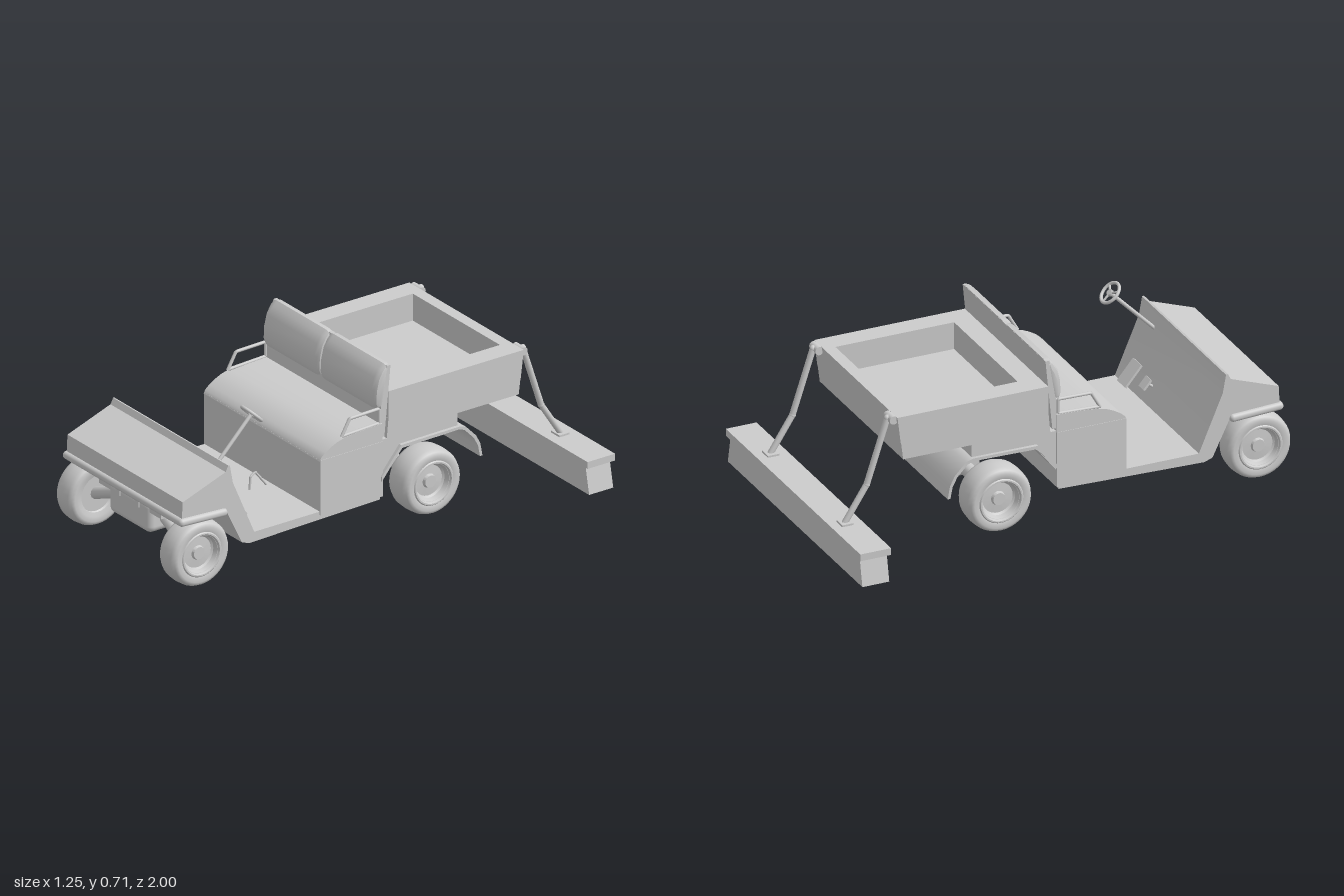
import * as THREE from 'three';
import { toCreasedNormals } from 'three/addons/utils/BufferGeometryUtils.js';
import { RoundedBoxGeometry } from 'three/addons/geometries/RoundedBoxGeometry.js';

const V = (x, y, z) => new THREE.Vector3(x, y, z);
const mat = new THREE.MeshStandardMaterial({ color: 0xcccccc });
const matDouble = new THREE.MeshStandardMaterial({ color: 0xcccccc, side: THREE.DoubleSide });

export function createModel() {
  const root = new THREE.Group();

  const add = (name, geo, parent = root, material = mat) => {
    const mesh = new THREE.Mesh(geo, material);
    mesh.name = name;
    parent.add(mesh);
    return mesh;
  };
  const group = (name, parent = root) => {
    const g = new THREE.Group();
    g.name = name;
    parent.add(g);
    return g;
  };
  // box given by its min/max ranges
  const box = (name, x0, x1, y0, y1, z0, z1, parent) =>
    add(name, new THREE.BoxGeometry(x1 - x0, y1 - y0, z1 - z0)
      .translate((x0 + x1) / 2, (y0 + y1) / 2, (z0 + z1) / 2), parent);
  // side profile of [z, y] points extruded across x
  const across = (name, pts, width, x = 0, options = {}, parent = root) => {
    const shape = new THREE.Shape(pts.map(p => new THREE.Vector2(...p)));
    const geo = new THREE.ExtrudeGeometry(shape, { depth: width, bevelEnabled: false, ...options });
    geo.rotateY(-Math.PI / 2).translate(x + width / 2, 0, 0);
    return add(name, toCreasedNormals(geo, 0.6), parent);
  };
  // straight bar between two points
  const rod = (name, a, b, r, parent, sides = 12, r2 = r) => {
    const mesh = add(name, new THREE.CylinderGeometry(r2, r, a.distanceTo(b), sides), parent);
    mesh.position.copy(a).lerp(b, 0.5);
    mesh.quaternion.setFromUnitVectors(V(0, 1, 0), b.clone().sub(a).normalize());
    return mesh;
  };
  // bent bar through several points
  const bent = (name, pts, r, parent, sides = 10) => {
    const path = new THREE.CurvePath();
    for (let i = 1; i < pts.length; i++) path.add(new THREE.LineCurve3(pts[i - 1], pts[i]));
    return add(name, new THREE.TubeGeometry(path, 60, r, sides), parent, matDouble);
  };

  // floor, sloping firewall and front cowl in one shell
  across('frontBody', [
    [0.95, 0.3], [0.945, 0.39], [0.735, 0.465], [0.722, 0.49], [0.714, 0.488], [0.7, 0.41],
    [0.595, 0.165], [-0.02, 0.165], [-0.02, 0.138], [0.62, 0.122], [0.655, 0.135], [0.735, 0.3]], 0.78);
  const bumper = add('bumper', new RoundedBoxGeometry(0.81, 0.034, 0.235, 4, 0.016));
  bumper.position.set(0, 0.297, 0.847);
  bumper.rotation.x = -0.05;

  // seat base and cushion with a rounded front
  box('seatBase', -0.395, 0.395, 0.15, 0.39, -0.03, 0.275);
  across('seatCushion', [
    [-0.03, 0.385], [0.277, 0.385], [0.27, 0.4], [0.25, 0.417], [0.22, 0.435],
    [0.19, 0.448], [0.15, 0.458], [0.08, 0.464], [-0.01, 0.468], [-0.03, 0.468]], 0.786);
  across('backrestPanel', [[-0.015, 0.405], [-0.03, 0.55], [-0.058, 0.71], [-0.075, 0.71], [-0.045, 0.405]], 0.77);
  for (const s of [-1, 1]) {
    across('backrestPillow', [
      [-0.045, 0.53], [-0.01, 0.53], [0.0, 0.555], [-0.003, 0.61], [-0.015, 0.66],
      [-0.035, 0.695], [-0.055, 0.715], [-0.075, 0.713]], 0.325, s * 0.193, {
      bevelEnabled: true, bevelThickness: 0.03, bevelSize: 0.016, bevelOffset: -0.016, bevelSegments: 3 });
    bent('armRail', [V(s * 0.385, 0.46, 0.165), V(s * 0.385, 0.53, 0.125),
      V(s * 0.385, 0.533, -0.02), V(s * 0.385, 0.47, -0.02), V(s * 0.385, 0.462, 0.165)], 0.007);
  }

  // cargo bed: solid lower body plus an open frame on top
  across('bedLowerBody', [
    [-0.055, 0.395], [-0.063, 0.48], [-0.709, 0.48], [-0.7, 0.41], [-0.4, 0.41], [-0.4, 0.34],
    [-0.13, 0.34], [-0.11, 0.325], [-0.028, 0.22], [-0.028, 0.395]], 0.775);
  const rim = new THREE.Shape([[-0.3875, 0.064], [0.3875, 0.064], [0.3875, 0.71], [-0.3875, 0.71]]
    .map(p => new THREE.Vector2(...p)));
  rim.holes.push(new THREE.Path([[-0.295, 0.155], [-0.295, 0.675], [0.295, 0.675], [0.295, 0.155]]
    .map(p => new THREE.Vector2(...p))));
  const frame = new THREE.ExtrudeGeometry(rim, { depth: 0.12, bevelEnabled: false });
  frame.rotateX(-Math.PI / 2).translate(0, 0.478, 0);
  const fp = frame.attributes.position;
  for (let i = 0; i < fp.count; i++) // lean the tailgate outward
    if (fp.getZ(i) < -0.7 && fp.getY(i) > 0.55) fp.setZ(i, -0.725);
  frame.computeVertexNormals();
  add('bedWalls', frame);

  // rear fender sheet bending down behind the wheels
  across('rearFender', [
    [-0.02, 0.22], [-0.12, 0.34], [-0.4, 0.345], [-0.425, 0.335], [-0.47, 0.288], [-0.49, 0.25], [-0.5, 0.2],
    [-0.512, 0.2], [-0.502, 0.255], [-0.482, 0.295], [-0.432, 0.347], [-0.4, 0.357], [-0.115, 0.354], [-0.02, 0.24]], 0.805);
  box('rearUnderbody', -0.2, 0.2, 0.26, 0.41, -0.4, -0.13);

  // wheels: lathe tyre and recessed rim
  const tyrePts = w => [[0.08, -0.42], [0.098, -0.47], [0.118, -0.5], [0.131, -0.44], [0.139, -0.3], [0.142, 0],
    [0.139, 0.3], [0.131, 0.44], [0.118, 0.5], [0.098, 0.47], [0.08, 0.42]].map(p => new THREE.Vector2(p[0], p[1] * w));
  const rimPts = w => [[0.0, -0.3], [0.08, -0.3], [0.098, -0.46], [0.098, 0.45], [0.092, 0.5], [0.086, 0.5], [0.08, 0.4],
    [0.074, 0.25], [0.066, 0.2], [0.03, 0.22], [0.026, 0.32], [0, 0.32]].map(p => new THREE.Vector2(p[0], p[1] * w));
  for (const [label, z, width, xc] of [['front', 0.86, 0.112, 0.349], ['rear', -0.275, 0.132, 0.338]])
    for (const s of [-1, 1]) {
      const wheel = group(label + 'Wheel');
      add('tyre', new THREE.LatheGeometry(tyrePts(width), 40), wheel);
      add('rim', toCreasedNormals(new THREE.LatheGeometry(rimPts(width), 40), 0.5), wheel, matDouble);
      wheel.rotation.z = -s * Math.PI / 2;
      wheel.position.set(s * xc, 0.142, z);
    }

  // axles and suspension
  rod('rearAxle', V(-0.33, 0.142, -0.275), V(0.33, 0.142, -0.275), 0.03);
  const diff = add('differential', new THREE.SphereGeometry(0.065, 20, 14));
  diff.position.set(0, 0.15, -0.275);
  box('axleMount', -0.08, 0.08, 0.15, 0.27, -0.33, -0.22);
  box('frontCrossPlate', -0.21, 0.21, 0.24, 0.285, 0.77, 0.92);
  const housing = add('frontHousing', new RoundedBoxGeometry(0.28, 0.14, 0.17, 4, 0.03));
  housing.position.set(0, 0.215, 0.845);
  for (const s of [-1, 1]) {
    rod('frontArm', V(s * 0.12, 0.215, 0.85), V(s * 0.32, 0.14, 0.86), 0.026);
    box('housingBolt', s * 0.065 - 0.012, s * 0.065 + 0.012, 0.245, 0.27, 0.92, 0.935);
  }

  // steering column and wheel
  const top = V(0.254, 0.607, 0.51), foot = V(0.254, 0.41, 0.705);
  rod('steeringColumn', foot, top, 0.008);
  const steering = group('steeringWheel');
  add('steeringRim', new THREE.TorusGeometry(0.047, 0.007, 10, 32), steering);
  add('steeringHub', new THREE.CylinderGeometry(0.014, 0.014, 0.014, 16).rotateX(Math.PI / 2), steering);
  for (let i = 0; i < 3; i++) {
    const a = Math.PI / 2 + i * Math.PI * 2 / 3;
    rod('steeringSpoke', V(0, 0, 0), V(0.046 * Math.cos(a), 0.046 * Math.sin(a), 0), 0.005, steering, 8);
  }
  steering.position.copy(top);
  steering.quaternion.setFromUnitVectors(V(0, 0, 1), top.clone().sub(foot).normalize());

  // foot pedals
  for (const [x, w, y, len] of [[0.107, 0.045, 0.255, 0.05], [0.252, 0.075, 0.235, 0.11]]) {
    const pedal = group('pedal');
    const pad = add('pedalPad', new THREE.BoxGeometry(w, len, 0.01), pedal);
    pad.position.set(x, y, 0.595);
    pad.rotation.x = 0.7;
    rod('pedalStem', V(x, y, 0.6), V(x, y - 0.03, 0.64), 0.006, pedal, 8);
  }

  // floor lever with the small caster it carries under the floor
  bent('floorLever', [V(0.06, 0.16, 0.38), V(0.06, 0.22, 0.375), V(0.06, 0.235, 0.352),
    V(0.06, 0.175, 0.305), V(0.06, 0.11, 0.262), V(0.06, 0.05, 0.225)], 0.005, root, 8);
  const caster = group('caster');
  for (const x of [0.03, 0.06, 0.09])
    add('casterRoller', new THREE.CylinderGeometry(0.021, 0.021, 0.016, 20).rotateZ(Math.PI / 2)
      .translate(x, 0.045, 0.205), caster);
  rod('casterAxle', V(0.018, 0.045, 0.205), V(0.102, 0.045, 0.205), 0.007, caster);
  box('casterFork', 0.025, 0.095, 0.05, 0.066, 0.205, 0.24, caster);

  // rear drag blade: flared box with a cap, hung on two bent arms
  const blade = group('dragBlade');
  box('bladeCap', -0.625, 0.625, 0.128, 0.158, -1, -0.865, blade);
  const board = new THREE.BoxGeometry(1.2, 0.118, 0.118);
  const bp = board.attributes.position;
  for (let i = 0; i < bp.count; i++) if (bp.getY(i) < 0) bp.setX(i, Math.sign(bp.getX(i)) * 0.625);
  board.computeVertexNormals();
  add('bladeBoard', board, blade).position.set(0, 0.071, -0.932);
  for (const s of [-1, 1]) {
    const x = s * 0.345, arm = group('bladeArm');
    const pts = [V(x, 0.585, -0.75), V(x, 0.31, -0.84), V(x, 0.155, -0.94)];
    rod('upperArm', pts[0], pts[1], 0.013, arm);
    rod('lowerArm', pts[1], pts[2], 0.013, arm);
    for (const p of pts.slice(0, 2)) add('armJoint', new THREE.SphereGeometry(0.014, 12, 8), arm).position.copy(p);
    rod('armPivot', V(x - 0.03, 0.583, -0.735), V(x + 0.03, 0.583, -0.735), 0.018, arm, 16);
    box('armFoot', x - 0.028, x + 0.028, 0.156, 0.166, -0.96, -0.91, arm);
  }
  return root;
}
